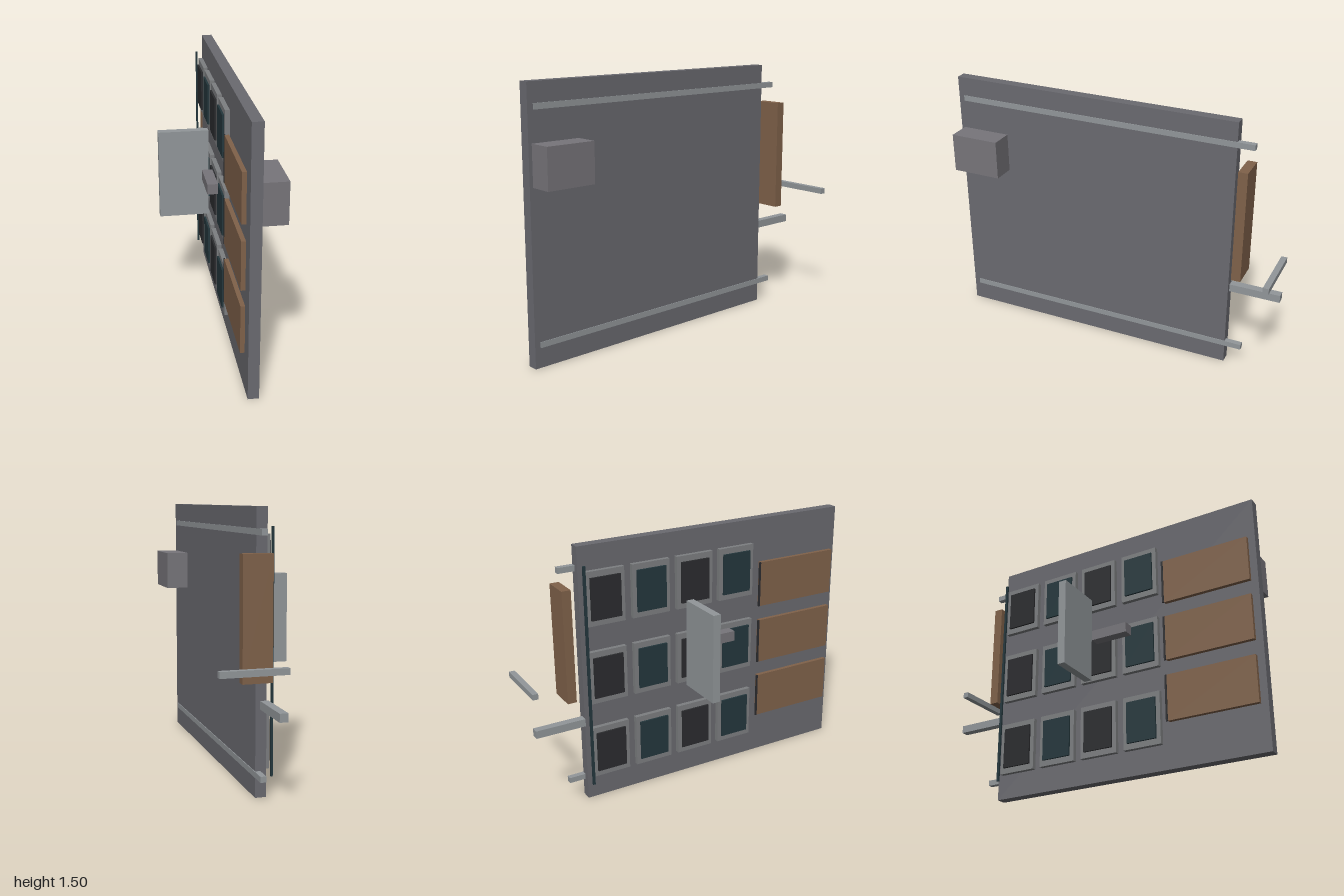
import * as THREE from 'three';

const COLORS = {
  wall: 0x6a6a70, housing: 0x77757a, metal: 0x92979a,
  wood: 0x80624a, black: 0x2b2c2f, teal: 0x24373d, frame: 0x7d7f81,
};
const materials = {};
for (const key in COLORS) {
  materials[key] = new THREE.MeshStandardMaterial({ color: COLORS[key] });
}

// Box given by its extents [min, max] along each axis
function block(parent, name, mat, [x0, x1], [y0, y1], [z0, z1]) {
  const mesh = new THREE.Mesh(new THREE.BoxGeometry(x1 - x0, y1 - y0, z1 - z0), materials[mat]);
  mesh.position.set((x0 + x1) / 2, (y0 + y1) / 2, (z0 + z1) / 2);
  mesh.name = name;
  parent.add(mesh);
}

export function createModel() {
  const model = new THREE.Group();
  model.name = 'wallPanel';

  // Main upright slab
  block(model, 'slab', 'wall', [0, 0.06], [0, 1.505], [-0.7, 1]);

  // Long rails, set almost flush in the +x face
  for (const y of [0.127, 1.38]) {
    block(model, 'rail', 'metal', [0.032, 0.064], [y - 0.016, y + 0.016], [-0.797, 0.966]);
  }

  // Housing on the +x face
  block(model, 'housing', 'housing', [0.06, 0.193], [0.97, 1.195], [0.69, 0.98]);

  // Parts behind the slab
  block(model, 'rearBoard', 'wood', [0, 0.16], [0.626, 1.276], [-0.795, -0.742]);
  block(model, 'crossBar', 'metal', [-0.015, 0.34], [0.705, 0.738], [-1, -0.967]);
  block(model, 'rearArm', 'metal', [-0.01, 0.035], [0.47, 0.515], [-0.993, -0.7]);

  // Grid of framed panes on the -x face
  for (let row = 0; row < 3; row++) {
    const y = 0.298 + row * 0.4575;
    for (let col = 0; col < 4; col++) {
      const z = -0.555 + col * 0.277;
      block(model, 'paneFrame', 'frame', [-0.026, 0], [y - 0.154, y + 0.154], [z - 0.115, z + 0.115]);
      block(model, 'pane', col % 2 ? 'teal' : 'black', [-0.037, -0.026], [y - 0.12, y + 0.12], [z - 0.09, z + 0.09]);
    }
  }

  // Thin upright strip beside the panes
  block(model, 'edgeStrip', 'teal', [-0.042, -0.031], [0.103, 1.405], [-0.686, -0.671]);

  // Wooden boards with slim end trims
  for (let row = 0; row < 3; row++) {
    const y = 0.26 + row * 0.36;
    block(model, 'board', 'wood', [-0.036, -0.012], [y, y + 0.27], [0.442, 0.963]);
    block(model, 'boardTrim', 'black', [-0.038, -0.031], [y, y + 0.27], [0.43, 0.442]);
  }

  // Standing plate and small block on the -x side
  block(model, 'plate', 'metal', [-0.342, -0.055], [0.594, 1.114], [-0.073, -0.027]);
  block(model, 'gripBlock', 'housing', [-0.097, -0.037], [0.825, 0.885], [0, 0.225]);

  return model;
}
